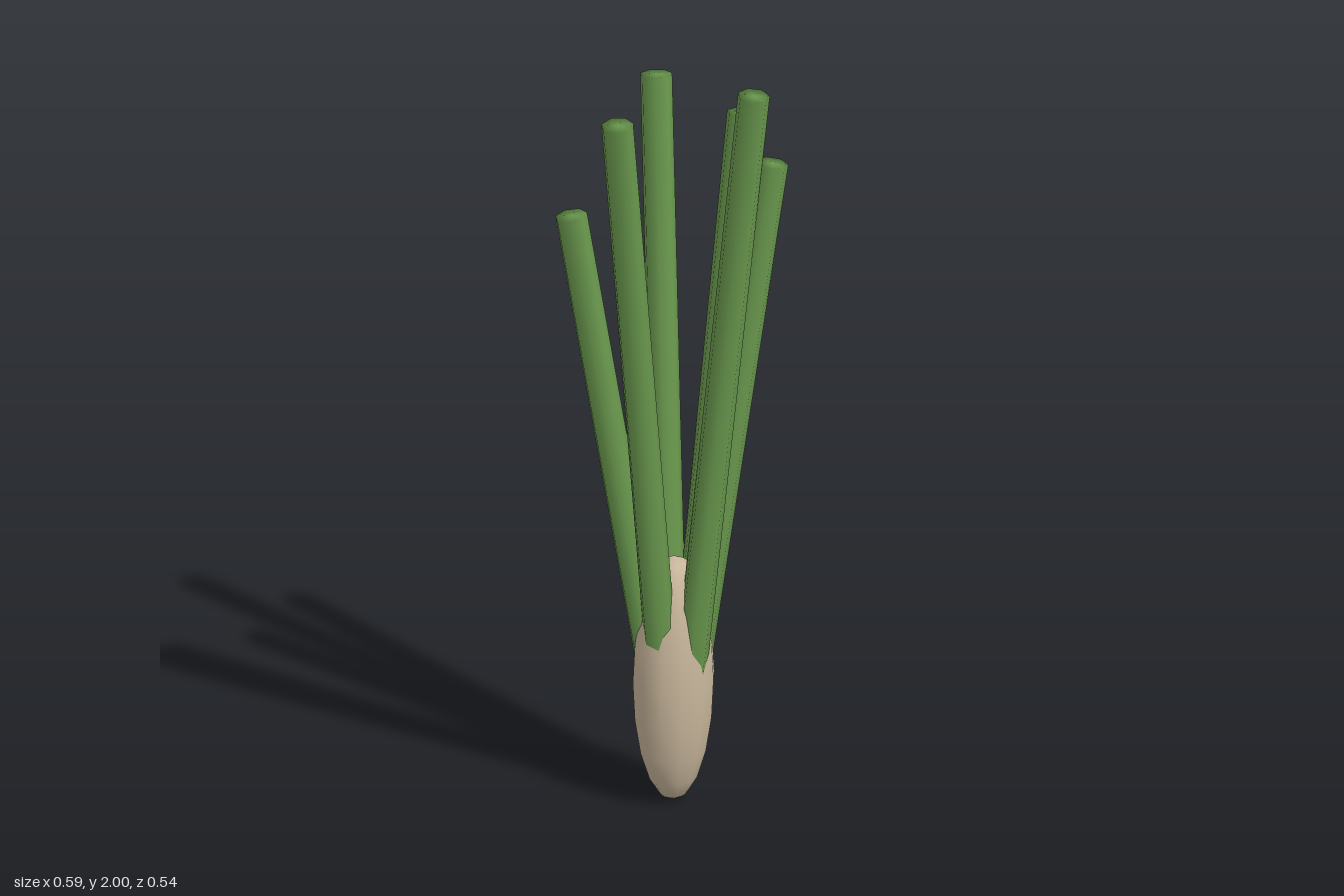
import * as THREE from 'three';
import { mergeVertices } from 'three/addons/utils/BufferGeometryUtils.js';

const CENTRE_Z = -0.025;

// Seven-sided rod between two points, with normals shared across the cap rims
function rod(start, end, radius) {
  const dir = end.clone().sub(start);
  let geo = new THREE.CylinderGeometry(radius, radius, dir.length(), 7, 1);
  geo.deleteAttribute('uv');
  geo.deleteAttribute('normal');
  geo = mergeVertices(geo);
  geo.computeVertexNormals();
  geo.applyQuaternion(new THREE.Quaternion().setFromUnitVectors(new THREE.Vector3(0, 1, 0), dir.normalize()));
  const mid = start.clone().add(end).multiplyScalar(0.5);
  geo.translate(mid.x, mid.y, mid.z);
  return geo;
}

export function createModel() {
  const group = new THREE.Group();
  const cream = new THREE.MeshStandardMaterial({ color: 0xc9b79c });
  cream.name = 'bulb cream';
  const green = new THREE.MeshStandardMaterial({ color: 0x6a994e });
  green.name = 'leaf green';

  // Bulb: a tall, slightly oval ellipsoid
  const bulbGeo = new THREE.SphereGeometry(1, 12, 10);
  bulbGeo.scale(0.112, 0.333, 0.097);
  bulbGeo.translate(-0.002, 0.333, CENTRE_Z);
  const bulb = new THREE.Mesh(bulbGeo, cream);
  bulb.name = 'bulb';
  group.add(bulb);

  // Stalks: tip centres [x, y, z], each leaning outward from the bulb axis
  const tips = [
    [0.02, 1.995, 0.228],
    [0.215, 1.71, 0.11],
    [0.252, 1.795, -0.026],
    [0.154, 1.87, -0.231],
    [-0.19, 1.605, -0.2],
    [-0.255, 1.94, 0.018],
  ];
  tips.forEach(([x, y, z], i) => {
    const tip = new THREE.Vector3(x, y, z);
    const out = new THREE.Vector3(x, 0, z - CENTRE_Z).normalize();
    const base = out.multiplyScalar(0.045).add(new THREE.Vector3(0, 0.3, CENTRE_Z));
    const stalk = new THREE.Mesh(rod(base, tip, 0.041), green);
    stalk.name = `stalk${i + 1}`;
    group.add(stalk);
  });

  return group;
}
